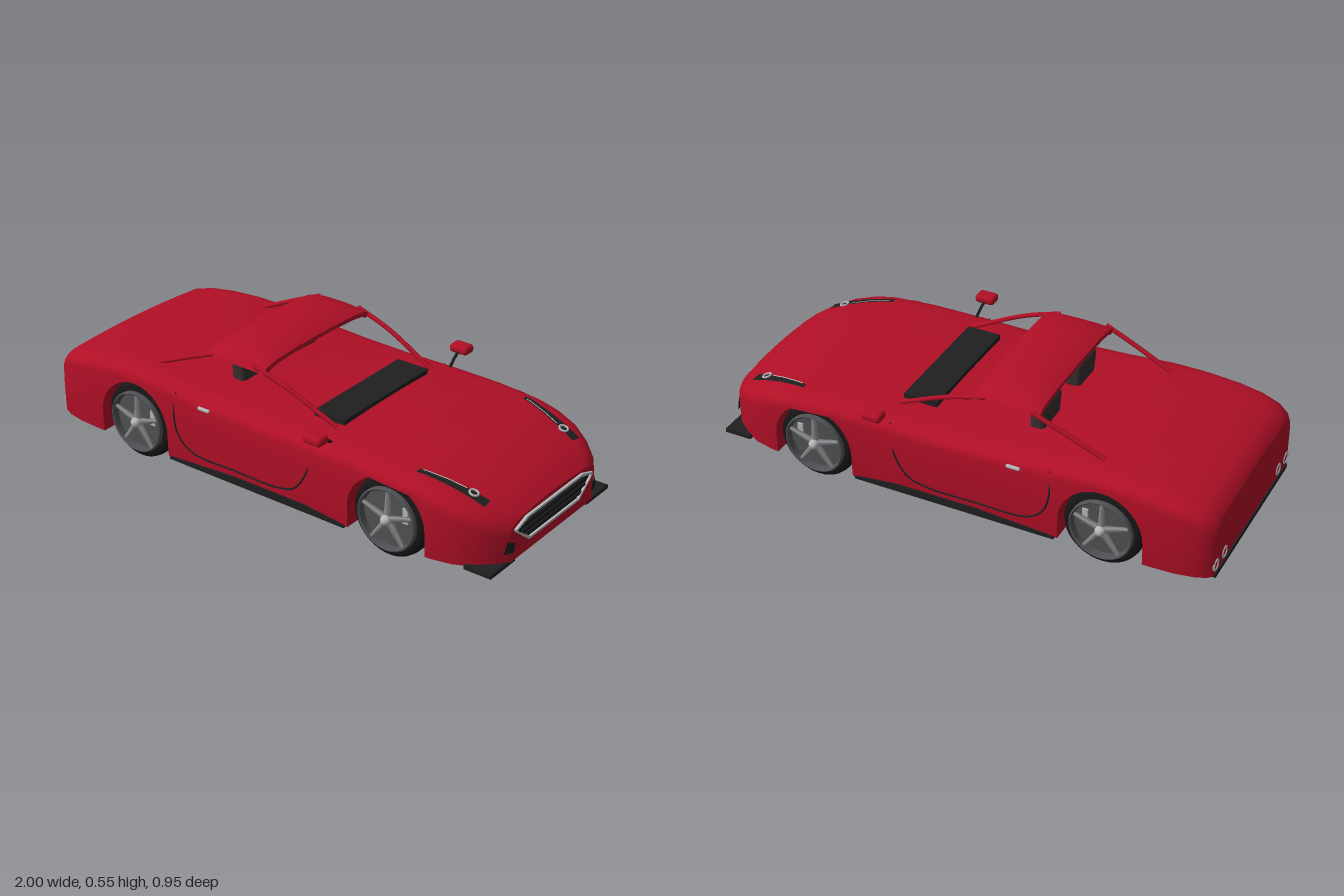
import * as THREE from 'three';
import { toCreasedNormals } from 'three/addons/utils/BufferGeometryUtils.js';
import { RoundedBoxGeometry } from 'three/addons/geometries/RoundedBoxGeometry.js';

const mat = (name, color, side = THREE.FrontSide) => new THREE.MeshStandardMaterial({ name, color, side });
const red = mat('red paint', 0xb00f26);
const black = mat('black trim', 0x1f1f20, THREE.DoubleSide);
const rubber = mat('tyre rubber', 0x161616);
const leather = mat('seat leather', 0x362e2e);
const silver = mat('silver trim', 0xb4b6b8, THREE.DoubleSide);
const alloy = mat('wheel alloy', 0x8c8d90);
const discGrey = mat('brake disc grey', 0x505154);

// Outline of the body along its length: x, top height, half width
const OUTLINE = [
  [-0.995, 0.3, 0.37], [-0.98, 0.32, 0.388], [-0.94, 0.343, 0.405], [-0.87, 0.36, 0.418], [-0.78, 0.374, 0.422],
  [-0.65, 0.385, 0.422], [-0.52, 0.386, 0.422], [-0.35, 0.373, 0.42], [-0.1, 0.361, 0.42], [0.1, 0.358, 0.42],
  [0.3, 0.361, 0.42], [0.5, 0.358, 0.422], [0.68, 0.345, 0.42], [0.76, 0.329, 0.414], [0.84, 0.305, 0.397],
  [0.91, 0.278, 0.36], [0.96, 0.252, 0.32], [0.99, 0.232, 0.275]];
const outline = (x, k) => {
  let i = 1;
  while (i < OUTLINE.length - 1 && OUTLINE[i][0] < x) i++;
  const a = OUTLINE[i - 1], b = OUTLINE[i];
  return a[k] + (b[k] - a[k]) * THREE.MathUtils.clamp((x - a[0]) / (b[0] - a[0]), 0, 1);
};
const FLOOR = 0.066, CROWN = 0.01, RY = 0.05, RZ = 0.08, WELL = 0.27;
const ARCH = 0.163, AXLE_Y = 0.153, AXLES = [-0.585, 0.575];
const shoulderY = (x) => outline(x, 1) - CROWN - RY;
const flankZ = (x, y) => outline(x, 2) * (1 - 0.03 * ((y - 0.17) / 0.2) ** 2);
const sideZ = (x, y) => {
  const ys = shoulderY(x);
  if (y <= ys) return flankZ(x, y);
  return flankZ(x, ys) - RZ + RZ * Math.sqrt(Math.max(0, 1 - ((y - ys) / RY) ** 2));
};
const topY = (x, z) => {
  const flat = flankZ(x, shoulderY(x)) - RZ, t = outline(x, 1);
  if (z < flat) return t - CROWN * (z / flat) ** 2;
  return t - CROWN - RY + RY * Math.sqrt(Math.max(0, 1 - ((z - flat) / RZ) ** 2));
};

// Joins half sections (bottom to top, on +z) into a mirrored shell
function loft(sections, capped, crease = 0.6) {
  const m = sections[0].length, n = m * 2, pos = [], idx = [];
  sections.forEach((s) => {
    s.forEach(([x, y, z]) => pos.push(x, y, z));
    [...s].reverse().forEach(([x, y, z]) => pos.push(x, y, -z));
  });
  for (let i = 0; i < sections.length - 1; i++) for (let j = 0; j < n; j++) {
    const a = i * n + j, b = i * n + (j + 1) % n;
    idx.push(a, a + n, b, b, a + n, b + n);
  }
  if (capped) for (let j = 0; j < m - 1; j++) {
    const e = (sections.length - 1) * n, q = [j, j + 1, n - 2 - j, n - 1 - j];
    idx.push(q[0], q[1], q[2], q[0], q[2], q[3]);
    idx.push(e + q[0], e + q[2], e + q[1], e + q[0], e + q[3], e + q[2]);
  }
  const g = new THREE.BufferGeometry();
  g.setAttribute('position', new THREE.Float32BufferAttribute(pos, 3));
  g.setIndex(idx);
  return toCreasedNormals(g.toNonIndexed(), crease);
}

function bodySection(x, yb) {
  const pts = [[x, FLOOR, WELL], [x, yb, WELL]].map(([a, b, c]) => [a, b, Math.min(c, outline(x, 2) - 0.02)]);
  const ys = shoulderY(x), zs = flankZ(x, ys), top = outline(x, 1);
  for (let k = 0; k <= 6; k++) {
    const y = yb + (ys - yb) * k / 6;
    pts.push([x, y, flankZ(x, y)]);
  }
  for (let k = 1; k <= 6; k++) {
    const a = k / 6 * Math.PI / 2;
    pts.push([x, ys + RY * Math.sin(a), zs - RZ + RZ * Math.cos(a)]);
  }
  for (const f of [0.66, 0.33, 0]) pts.push([x, top - CROWN * f * f, (zs - RZ) * f]);
  return pts;
}

function bodyGeometry() {
  const stations = [];
  const inArch = (x) => AXLES.some((c) => Math.abs(x - c) < ARCH + 0.01);
  OUTLINE.forEach(([x]) => { if (!inArch(x)) stations.push([x, FLOOR]); });
  for (let x = -0.35; x < 0.4; x += 0.07) stations.push([x, FLOOR]);
  // Wheel arches cut upward into the flanks
  AXLES.forEach((c) => {
    for (let k = 0; k <= 20; k++) {
      const a = Math.PI * (1 - k / 20);
      const s = [c + ARCH * Math.cos(a), AXLE_Y + ARCH * Math.sin(a)];
      if (k === 0) stations.push([s[0], FLOOR]);
      stations.push(s);
      if (k === 20) stations.push([s[0], FLOOR]);
    }
  });
  stations.sort((p, q) => p[0] - q[0]);
  return loft(stations.map(([x, yb]) => bodySection(x, yb)), true, 0.5);
}

function roofGeometry() {
  const arc = [[0, 0.545], [0.15, 0.541], [0.24, 0.533], [0.285, 0.521], [0.31, 0.503], [0.321, 0.485]];
  const section = (x, t) => {
    const dip = 0.4 * Math.abs((x + 0.17) / 0.13) ** 3;
    const outer = arc.map(([z, y]) => [x, y - dip * (y - 0.485), z]);
    const inner = outer.map(([, y, z]) => [x, y - t * (y > 0.486 ? 0.016 : 0), z * (1 - 0.055 * t)]);
    return [...inner, ...outer.reverse()];
  };
  const xs = [-0.3, -0.27, -0.23, -0.17, -0.11, -0.07, -0.04];
  return loft([section(xs[0], 0), ...xs.map((x) => section(x, 1)), section(xs[6], 0)], false);
}

// Thin sheet laid over the bonnet between four x, z corners
function bonnetSheet(c, lift, s) {
  const g = new THREE.PlaneGeometry(1, 1, 16, 6), p = g.attributes.position;
  for (let i = 0; i < p.count; i++) {
    const u = p.getX(i) + 0.5, v = p.getY(i) + 0.5;
    const mix = (k) => (c[0][k] * (1 - u) + c[1][k] * u) * (1 - v) + (c[3][k] * (1 - u) + c[2][k] * u) * v;
    p.setXYZ(i, mix(0), topY(mix(0), mix(1)) + lift, mix(1) * s);
  }
  g.computeVertexNormals();
  return g;
}

export function createModel() {
  const root = new THREE.Group();
  const add = (name, geo, material, pos = [0, 0, 0], parent = root) => {
    const m = new THREE.Mesh(geo, material);
    m.name = name;
    m.position.set(...pos);
    parent.add(m);
    return m;
  };
  const box = (w, h, d) => new THREE.BoxGeometry(w, h, d);
  const tube = (pts, r, n = 24) =>
    new THREE.TubeGeometry(new THREE.CatmullRomCurve3(pts.map((p) => new THREE.Vector3(...p))), n, r, 8);

  add('body', bodyGeometry(), red);
  add('roof', roofGeometry(), red);
  add('dashboard', box(0.135, 0.03, 0.51), black, [0.208, 0.36, 0]);

  // Grille
  const hexagon = (k, h) => [[-0.25, k], [-0.18, h], [0.18, h], [0.25, k], [0.245, k - 0.012], [0.165, -h], [-0.165, -h], [-0.245, k - 0.012]]
    .map(([a, b]) => new THREE.Vector2(a, b));
  const frame = new THREE.Shape(hexagon(0.027, 0.05));
  const opening = hexagon(0.027, 0.05).map((v) => new THREE.Vector2(v.x * 0.952, v.y * 0.82));
  frame.holes.push(new THREE.Path(opening));
  add('grilleFrame', new THREE.ExtrudeGeometry(frame, { depth: 0.014, bevelEnabled: false }).rotateY(Math.PI / 2), silver, [0.986, 0.165, 0]);
  add('grilleBack', new THREE.ShapeGeometry(new THREE.Shape(opening)).rotateY(Math.PI / 2), rubber, [0.992, 0.165, 0]);
  [[0.187, 0.4], [0.163, 0.41], [0.14, 0.36]].forEach(([y, w]) => add('grilleSlat', box(0.006, 0.012, w), black, [0.994, y, 0]));

  // Rear diffuser
  add('diffuser', box(0.14, 0.018, 0.72), black, [-0.93, 0.064, 0]);
  for (const z of [0.1, 0.165, 0.23, 0.3]) for (const s of [-1, 1]) add('diffuserFin', box(0.13, 0.014, 0.006), black, [-0.93, 0.053, z * s]);

  for (const s of [1, -1]) {
    // Pillars and seats
    add('frontPillar', tube([[-0.09, 0.502, 0.312 * s], [0.06, 0.455, 0.305 * s], [0.27, 0.358, 0.287 * s]], 0.009), red);
    add('rearPillar', tube([[-0.27, 0.498, 0.318 * s], [-0.4, 0.443, 0.313 * s], [-0.55, 0.375, 0.304 * s]], 0.009), red);
    add('seat', new RoundedBoxGeometry(0.06, 0.13, 0.145, 3, 0.018), leather, [-0.246, 0.4, 0.15 * s]).rotation.z = 0.08;

    // Mirrors
    add('mirror', new RoundedBoxGeometry(0.08, 0.034, 0.058, 3, 0.014), red, [0.295, 0.393, 0.448 * s]);
    add('mirrorStalk', tube([[0.3, 0.345, 0.365 * s], [0.297, 0.372, 0.4 * s], [0.295, 0.388, 0.43 * s]], 0.006, 8), black);

    // Headlights
    add('headlight', bonnetSheet([[0.65, 0.325], [0.9, 0.265], [0.905, 0.305], [0.65, 0.347]], 0.005, s), black);
    add('headlightStrip', bonnetSheet([[0.665, 0.324], [0.82, 0.286], [0.82, 0.291], [0.665, 0.329]], 0.008, s), silver);
    const lamp = add('headlightLamp', new THREE.TorusGeometry(0.016, 0.004, 8, 24).rotateX(Math.PI / 2), silver, [0.848, topY(0.848, 0.287) + 0.008, 0.287 * s]);
    lamp.rotation.z = -0.33;

    // Front corner vents and splitter
    const vent = new THREE.BufferGeometry();
    const q = [[0.998, 0.14, 0.25], [0.997, 0.105, 0.255], [0.984, 0.11, 0.3], [0.989, 0.156, 0.284]];
    vent.setAttribute('position', new THREE.Float32BufferAttribute(q.flatMap(([x, y, z]) => [x, y, z * s]), 3));
    vent.setIndex(s > 0 ? [0, 2, 1, 0, 3, 2] : [0, 1, 2, 0, 2, 3]);
    vent.computeVertexNormals();
    add('cornerVent', vent, black);
    add('splitter', box(0.11, 0.015, 0.15), black, [0.935, 0.066, 0.31 * s]);

    // Side skirt, door seam and handle
    const skirt = new THREE.Shape([[-0.41, 0.06], [0.4, 0.06], [0.4, 0.07], [0.22, 0.09], [-0.1, 0.09], [-0.41, 0.07]].map((p) => new THREE.Vector2(...p)));
    add('sideSkirt', new THREE.ExtrudeGeometry(skirt, { depth: 0.03, bevelEnabled: false }), black, [0, 0, s > 0 ? 0.394 : -0.424]);
    const seam = [[-0.385, 0.34], [-0.388, 0.25], [-0.365, 0.17], [-0.3, 0.122], [-0.1, 0.115], [0.1, 0.117], [0.175, 0.14], [0.23, 0.22], [0.257, 0.335]];
    add('doorSeam', tube(seam.map(([x, y]) => [x, y, sideZ(x, y) * s]), 0.0035, 70), black);
    add('doorHandle', new RoundedBoxGeometry(0.055, 0.013, 0.014, 2, 0.005), silver, [-0.245, 0.315, sideZ(-0.245, 0.315) * s]);

    // Exhausts
    for (const z of [0.27, 0.35]) add('exhaust', new THREE.TorusGeometry(0.02, 0.005, 8, 24).rotateY(Math.PI / 2), silver, [-0.994, 0.105, z * s]);

    // Wheels
    AXLES.forEach((x) => {
      const wheel = new THREE.Group();
      wheel.name = 'wheel';
      wheel.position.set(x, AXLE_Y, 0.355 * s);
      if (s < 0) wheel.rotation.y = Math.PI;
      root.add(wheel);
      const ring = (pts) => toCreasedNormals(new THREE.LatheGeometry(pts.map((p) => new THREE.Vector2(...p)), 48).rotateX(Math.PI / 2).toNonIndexed(), 0.7);
      add('tyre', ring([[0.118, -0.045], [0.138, -0.045], [0.149, -0.036], [0.153, -0.018], [0.153, 0.018], [0.149, 0.036], [0.138, 0.045], [0.118, 0.045]]), rubber, [0, 0, 0], wheel);
      add('rim', ring([[0.112, -0.06], [0.117, -0.064], [0.122, -0.06], [0.122, 0.06], [0.117, 0.064], [0.112, 0.06], [0.11, 0.035], [0.11, -0.035], [0.112, -0.06]]), discGrey, [0, 0, 0], wheel);
      add('brakeDisc', new THREE.CylinderGeometry(0.112, 0.112, 0.07, 40).rotateX(Math.PI / 2), discGrey, [0, 0, 0], wheel);
      add('caliper', box(0.022, 0.06, 0.01), silver, [0.068 * s, 0.03, 0.037], wheel);
      add('hub', new THREE.SphereGeometry(0.02, 20, 12), silver, [0, 0, 0.06], wheel);
      for (let k = 0; k < 5; k++) {
        const spoke = add('spoke', new THREE.CylinderGeometry(0.008, 0.014, 0.105, 4, 1).rotateY(Math.PI / 4), alloy, [0, 0, 0.049], wheel);
        const a = k * Math.PI * 0.4;
        spoke.position.set(-Math.sin(a) * 0.062, Math.cos(a) * 0.062, 0.049);
        spoke.rotation.z = a;
      }
    });
  }
  return root;
}
